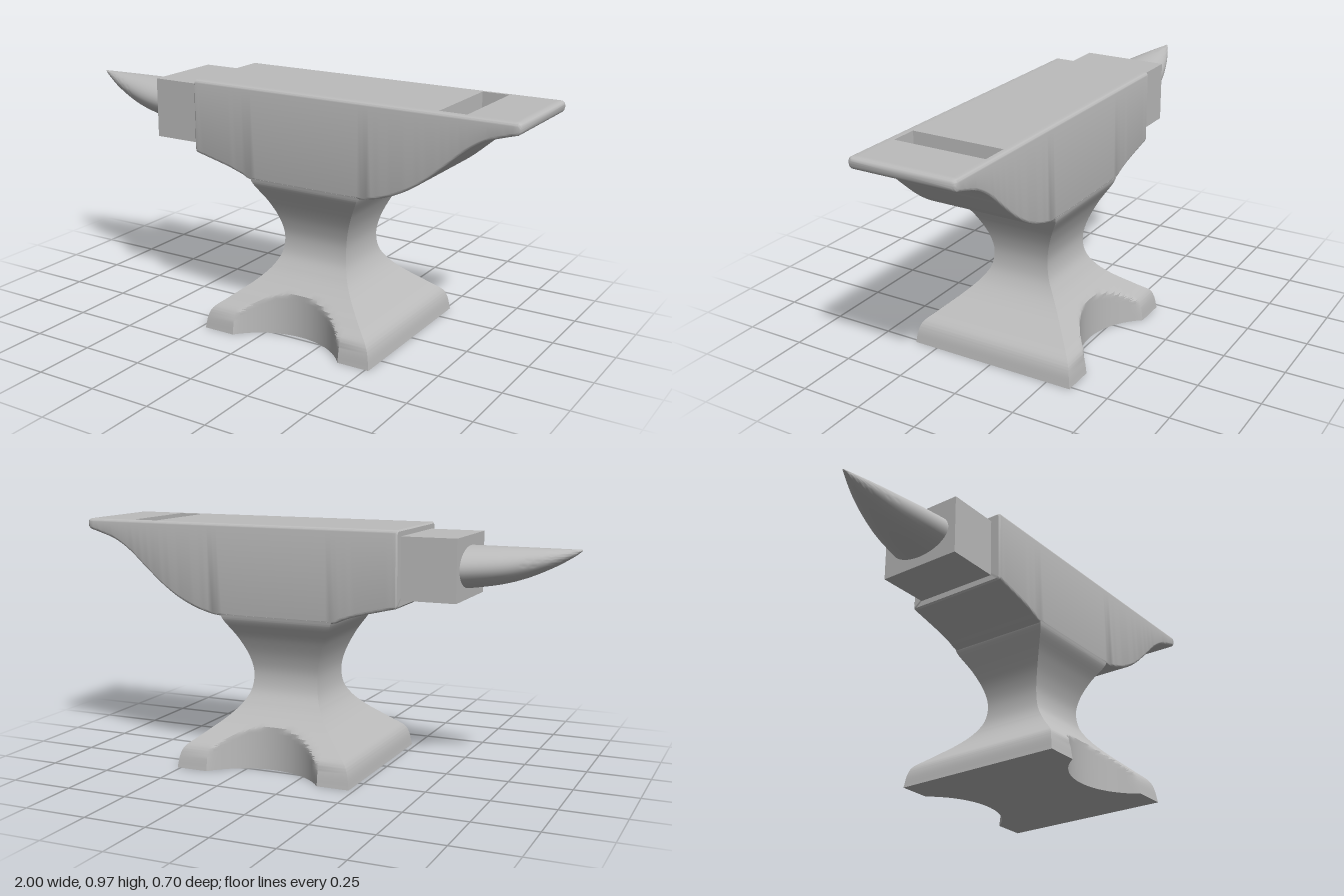
import * as THREE from 'three';
import { toCreasedNormals } from 'three/addons/utils/BufferGeometryUtils.js';

// Skin a list of closed rings of [x, y, z] points and cap both ends
function loft(rings, crease = 0.6) {
  const pos = [];
  const tri = (a, b, c) => pos.push(...a, ...b, ...c);
  const n = rings[0].length;
  for (let i = 0; i < rings.length - 1; i++) {
    for (let j = 0; j < n; j++) {
      const k = (j + 1) % n;
      const a = rings[i][j], b = rings[i][k], c = rings[i + 1][k], d = rings[i + 1][j];
      tri(a, b, c);
      tri(a, c, d);
    }
  }
  const cap = (ring, flip) => {
    const mid = [0, 1, 2].map((q) => ring.reduce((s, p) => s + p[q], 0) / n);
    for (let j = 0; j < n; j++) {
      const p = ring[j], r = ring[(j + 1) % n];
      if (flip) tri(mid, r, p);
      else tri(mid, p, r);
    }
  };
  cap(rings[0], true);
  cap(rings[rings.length - 1], false);
  const geo = new THREE.BufferGeometry();
  geo.setAttribute('position', new THREE.Float32BufferAttribute(pos, 3));
  return toCreasedNormals(geo, crease);
}

// Smooth curve through [x, y] points, looked up by x
function curveLookup(points) {
  const pts = new THREE.SplineCurve(points.map((p) => new THREE.Vector2(...p))).getPoints(200);
  return (x) => {
    let i = 1;
    while (i < pts.length - 1 && pts[i].x < x) i++;
    const a = pts[i - 1], b = pts[i];
    return THREE.MathUtils.mapLinear(THREE.MathUtils.clamp(x, a.x, b.x), a.x, b.x, a.y, b.y);
  };
}

// Flared foot and waist, with a round bite out of the front and back
function pedestalGeometry() {
  const cx = 0.142, notch = 0.24, steps = 24;
  // half width in x, height, half depth in z
  const profile = new THREE.CatmullRomCurve3([
    [0.372, 0, 0.35], [0.362, 0.055, 0.341], [0.348, 0.085, 0.33], [0.3, 0.125, 0.288],
    [0.21, 0.2, 0.205], [0.168, 0.25, 0.16], [0.146, 0.3, 0.13], [0.14, 0.365, 0.12],
    [0.152, 0.43, 0.132], [0.185, 0.51, 0.165], [0.232, 0.59, 0.21], [0.24, 0.61, 0.215],
  ].map((p) => new THREE.Vector3(...p)));
  const rings = profile.getPoints(66).map(({ x: hx, y, z: hz }) => {
    const w = Math.min(hx, notch);
    const edge = [[-hx, hz]];
    for (let i = 0; i <= steps; i++) {
      const x = w * (2 * i / steps - 1);
      edge.push([x, Math.min(hz, 0.53 - Math.sqrt(0.09 - x * x))]);
    }
    edge.push([hx, hz]);
    return [
      ...edge.map(([x, z]) => [cx + x, y, z]),
      ...edge.map(([x, z]) => [cx - x, y, -z]),
    ];
  });
  return loft(rings);
}

// Body with flat face, swept heel and a recessed slot
function bodyGeometry() {
  const bottom = curveLookup([
    [-0.36, 0.677], [-0.28, 0.658], [-0.2, 0.638], [-0.13, 0.615], [-0.085, 0.602],
    [0.14, 0.6], [0.37, 0.602], [0.47, 0.62], [0.56, 0.657], [0.64, 0.708], [0.72, 0.775],
    [0.8, 0.845], [0.87, 0.889], [0.94, 0.913], [1, 0.93],
  ]);
  const slotStart = 0.683, slotEnd = 0.79, r = 0.012;
  const section = (x, inset, slot) => {
    const hz = 0.215 - inset, t = 0.97 - inset, b = bottom(x) + inset;
    const floor = slot ? 0.89 : t;
    const ring = [[t, -0.19], [floor, -0.19], [floor, 0.182], [t, 0.182]];
    const corner = (y, z, start) => {
      for (let i = 0; i <= 4; i++) {
        const a = start + (i / 4) * Math.PI / 2;
        ring.push([y + r * Math.cos(a), z + r * Math.sin(a)]);
      }
    };
    corner(t - r, hz - r, 0);
    corner(b + r, hz - r, Math.PI / 2);
    corner(b + r, -hz + r, Math.PI);
    corner(t - r, -hz + r, Math.PI * 1.5);
    return ring.map(([y, z]) => [x, y, z]);
  };
  const rings = [section(-0.363, 0.006, false), section(-0.357, 0, false)];
  const span = (from, to, count, slot) => {
    for (let i = 0; i <= count; i++) rings.push(section(from + (to - from) * i / count, 0, slot));
  };
  span(-0.34, slotStart, 50, false);
  span(slotStart, slotEnd, 6, true);
  span(slotEnd, 0.988, 12, false);
  rings.push(section(0.996, 0.004, false), section(1, 0.01, false));
  return loft(rings);
}

// Pointed horn: level along the top, curving up underneath to the tip
function hornGeometry() {
  const bottom = curveLookup([
    [-1, 0.901], [-0.97, 0.878], [-0.9, 0.837], [-0.8, 0.792], [-0.7, 0.763], [-0.57, 0.742],
  ]);
  const half = curveLookup([
    [-1, 0.003], [-0.9, 0.05], [-0.8, 0.086], [-0.7, 0.115], [-0.57, 0.142],
  ]);
  const rings = [];
  for (let i = 0; i <= 28; i++) {
    const x = -1 + 0.43 * (i / 28) ** 1.4;
    const b = bottom(x), top = 0.906, ring = [];
    for (let j = 0; j < 40; j++) {
      const a = (j / 40) * Math.PI * 2;
      ring.push([x, (top + b) / 2 + (top - b) / 2 * Math.cos(a), half(x) * Math.sin(a)]);
    }
    rings.push(ring);
  }
  return loft(rings, 0.9);
}

export function createModel() {
  const group = new THREE.Group();
  group.name = 'anvil';
  const steel = new THREE.MeshStandardMaterial({ color: 0xbcbcbc });
  steel.name = 'greySteel';

  const add = (name, geometry) => {
    const mesh = new THREE.Mesh(geometry, steel);
    mesh.name = name;
    group.add(mesh);
    return mesh;
  };

  add('pedestal', pedestalGeometry());
  add('body', bodyGeometry());
  add('horn', hornGeometry());
  // Step between body and horn
  add('step', new THREE.BoxGeometry(0.24, 0.24, 0.346)).position.set(-0.46, 0.825, 0);
  return group;
}
